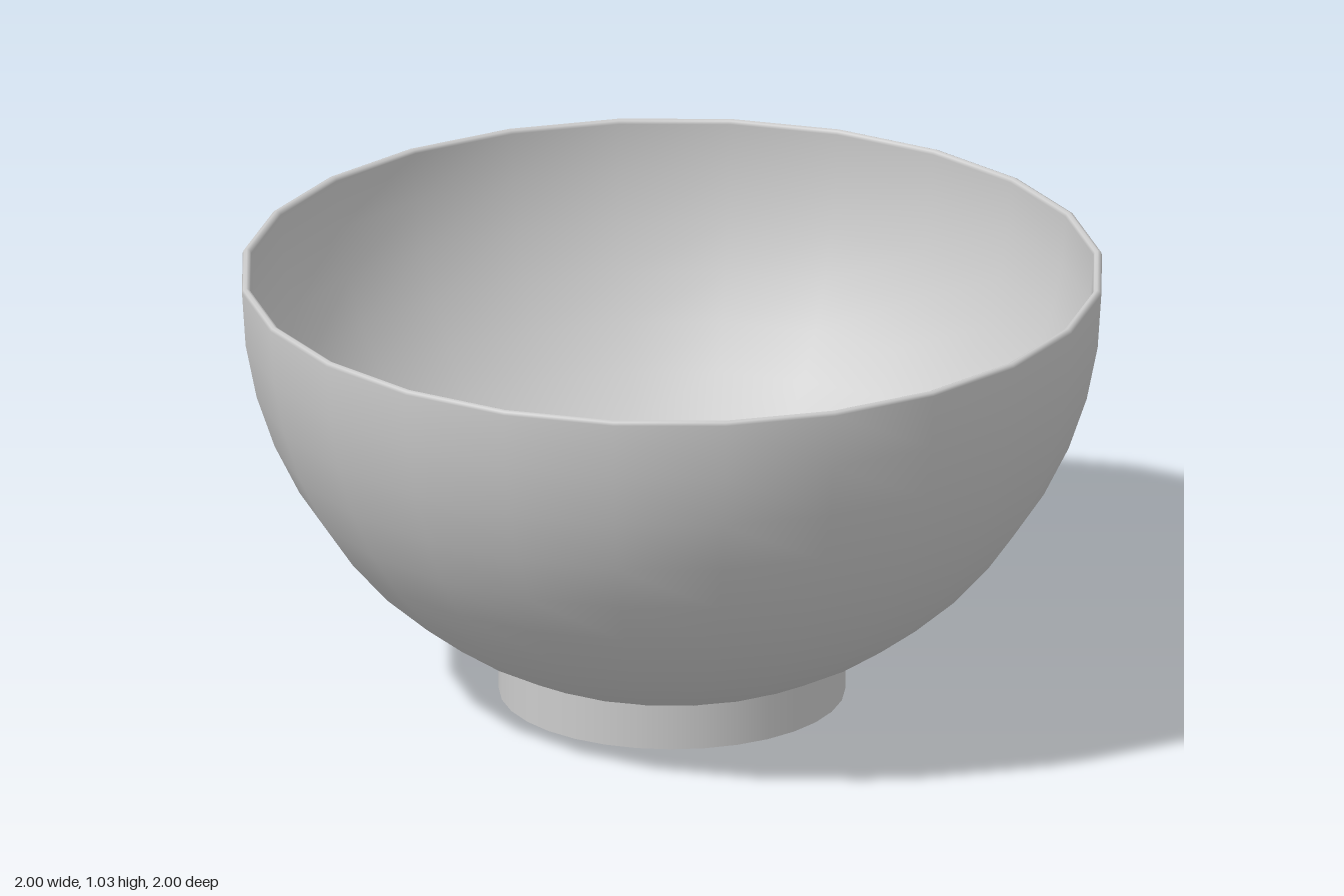
import * as THREE from 'three';

const SIDES = 24;
const FOOT_SIDES = 32;
const CENTRE_Y = 1.022; // height of the bowl's equator
const OUTER = 1;
const INNER = 0.98;
const INNER_DEPTH = 0.88; // the wall thickens towards the bottom
const FOOT_OUTER = 0.4;
const FOOT_INNER = 0.34;
const FOOT_TOP = 0.112;
const RECESS = 0.016;

export function createModel() {
  const group = new THREE.Group();
  group.name = 'bowl';
  const solid = new THREE.MeshStandardMaterial({ color: 0xcccccc });
  const thin = new THREE.MeshStandardMaterial({ color: 0xcccccc, side: THREE.DoubleSide });

  const add = (name, geometry, y, material = solid) => {
    const mesh = new THREE.Mesh(geometry, material);
    mesh.name = name;
    mesh.position.y = y;
    group.add(mesh);
  };
  const lowerHalf = (radius, depth) =>
    new THREE.SphereGeometry(radius, SIDES, 12, 0, Math.PI * 2, Math.PI / 2, Math.PI / 2)
      .scale(1, depth / radius, 1);
  const openTube = (radius, height) =>
    new THREE.CylinderGeometry(radius, radius, height, FOOT_SIDES, 1, true);

  // Bowl wall: two nested half shells joined by a rounded rim
  add('outerWall', lowerHalf(OUTER, OUTER), CENTRE_Y);
  add('innerWall', lowerHalf(INNER, INNER_DEPTH), CENTRE_Y, thin);
  const tube = (OUTER - INNER) / 2;
  add('rim', new THREE.TorusGeometry(INNER + tube, tube, 8, SIDES).rotateX(Math.PI / 2), CENTRE_Y);

  // Foot ring with a shallow recess underneath
  add('footWall', openTube(FOOT_OUTER, FOOT_TOP), FOOT_TOP / 2);
  add('footRing', new THREE.RingGeometry(FOOT_INNER, FOOT_OUTER, FOOT_SIDES).rotateX(Math.PI / 2), 0);
  add('recessWall', openTube(FOOT_INNER, RECESS), RECESS / 2, thin);
  add('recessFloor', new THREE.CircleGeometry(FOOT_INNER, FOOT_SIDES).rotateX(Math.PI / 2), RECESS);

  return group;
}
